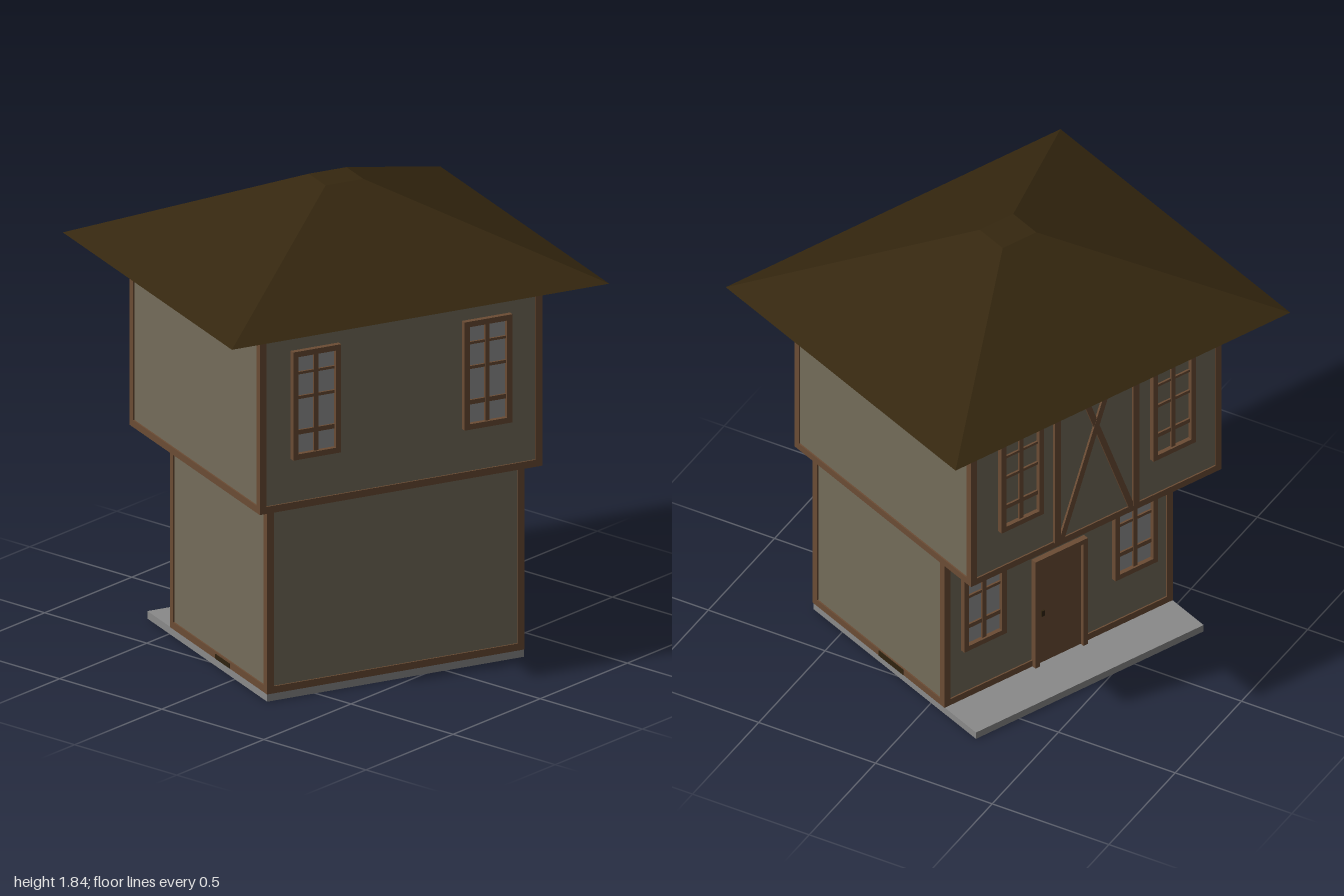
import * as THREE from 'three';

const mat = (name, color) => {
  const m = new THREE.MeshStandardMaterial({ color });
  m.name = name;
  return m;
};

export function createModel() {
  const plaster = mat('plaster', 0x746c5a);
  const timber = mat('timber', 0x6b4c34);
  const roofing = mat('roofing', 0x35270f);
  const stone = mat('stone', 0x8a8a8a);
  const glass = mat('glass', 0x949494);
  const dark = mat('dark wood', 0x30230f);

  const model = new THREE.Group();
  model.name = 'house';
  const house = new THREE.Group();
  house.name = 'turnedHouse';
  house.rotation.y = THREE.MathUtils.degToRad(-22.85);
  model.add(house);

  // Box given by its limits on each axis
  const box = (parent, name, material, x0, x1, y0, y1, z0, z1) => {
    const mesh = new THREE.Mesh(new THREE.BoxGeometry(x1 - x0, y1 - y0, z1 - z0), material);
    mesh.position.set((x0 + x1) / 2, (y0 + y1) / 2, (z0 + z1) / 2);
    mesh.name = name;
    parent.add(mesh);
    return mesh;
  };

  // Plaster block with corner posts and a timber sill round its foot
  const storey = (name, hx, y0, y1, z0, z1) => {
    const g = new THREE.Group();
    g.name = name;
    const inset = 0.006, w = 0.028;
    box(g, 'walls', plaster, -hx + inset, hx - inset, y0 + 0.004, y1, z0 + inset, z1 - inset);
    for (const s of [-1, 1]) {
      const a = s < 0 ? -hx : hx - w;
      box(g, 'cornerPost', timber, a, a + w, y0 + w, y1, z0, z0 + w);
      box(g, 'cornerPost', timber, a, a + w, y0 + w, y1, z1 - w, z1);
    }
    box(g, 'sillBeam', timber, -hx, hx, y0, y0 + w, z0, z1);
    house.add(g);
  };

  box(house, 'stoneBase', stone, -0.535, 0.535, 0, 0.03, -0.5, 0.494);
  storey('lowerStorey', 0.537, 0.03, 0.768, -0.31, 0.497);
  storey('upperStorey', 0.589, 0.766, 1.512, -0.54, 0.54);

  // Hipped roof with a small flat top
  const roofGeo = new THREE.BoxGeometry(1.573, 0.325, 1.404);
  const p = roofGeo.attributes.position;
  for (let i = 0; i < p.count; i++) {
    if (p.getY(i) > 0) p.setXYZ(i, p.getX(i) * 0.1, p.getY(i), p.getZ(i) * 0.1);
  }
  roofGeo.computeVertexNormals();
  const roof = new THREE.Mesh(roofGeo, roofing);
  roof.name = 'roof';
  roof.position.y = 1.51 + 0.1625;
  house.add(roof);

  // Framed window with a mullion and three crossbars, facing +z
  const W = 0.1, H = 0.215, F = 0.022;
  const addWindow = (x, y, z, back, pane) => {
    const g = new THREE.Group();
    g.name = 'window';
    box(g, 'pane', pane, -W + 0.01, W - 0.01, -H + 0.01, H - 0.01, -0.004, 0.002);
    for (const s of [-1, 1]) {
      const a = s < 0 ? -W : W - F;
      box(g, 'frameSide', timber, a, a + F, -H, H, -0.008, 0.02);
      const b = s < 0 ? -H : H - F;
      box(g, 'frameRail', timber, -W + F, W - F, b, b + F, -0.008, 0.02);
    }
    box(g, 'mullion', timber, -0.009, 0.009, -H + F, H - F, -0.006, 0.012);
    for (const [by, h] of [[-0.11, 0.009], [0.028, 0.006], [0.125, 0.005]])
      box(g, 'crossbar', timber, -W + F, W - F, by - h, by + h, -0.006, 0.01);
    g.position.set(x, y, z);
    if (back) g.rotation.y = Math.PI;
    house.add(g);
  };
  for (const s of [-1, 1]) {
    addWindow(s * 0.357, 1.18, 0.535, false, glass);
    addWindow(s * 0.357, 1.18, -0.535, true, plaster);
    addWindow(s * 0.355, 0.475, -0.305, true, glass);
  }

  // Timber posts and crossed braces on the upper back wall
  for (const s of [-1, 1]) {
    box(house, 'bracePost', timber, s * 0.185 - 0.014, s * 0.185 + 0.014, 0.79, 1.511, -0.545, -0.53);
    const dx = -s * 0.255, dy = 0.71;
    const brace = new THREE.Mesh(
      new THREE.BoxGeometry(0.024, Math.hypot(dx, dy), 0.012 + s * 0.001), timber);
    brace.name = 'crossBrace';
    brace.position.set(s * 0.165 + dx / 2, 0.79 + dy / 2, -0.537);
    brace.rotation.z = -Math.atan2(dx, dy);
    house.add(brace);
  }

  // Door on the back wall
  const door = new THREE.Group();
  door.name = 'door';
  box(door, 'doorPanel', timber, -0.105, 0.105, 0.03, 0.512, -0.311, -0.3);
  for (const s of [-1, 1])
    box(door, 'doorJamb', timber, s * 0.113 - 0.01, s * 0.113 + 0.01, 0.03, 0.53, -0.328, -0.3);
  box(door, 'doorLintel', timber, -0.105, 0.105, 0.51, 0.53, -0.328, -0.3);
  box(door, 'doorHandle', dark, 0.07, 0.085, 0.25, 0.275, -0.318, -0.31);
  house.add(door);

  // Dark vents low on the side walls
  box(house, 'sideVent', dark, 0.53, 0.539, 0.031, 0.056, -0.06, 0.09);
  box(house, 'sideVent', dark, -0.539, -0.53, 0.031, 0.05, 0.07, 0.19);

  return model;
}
